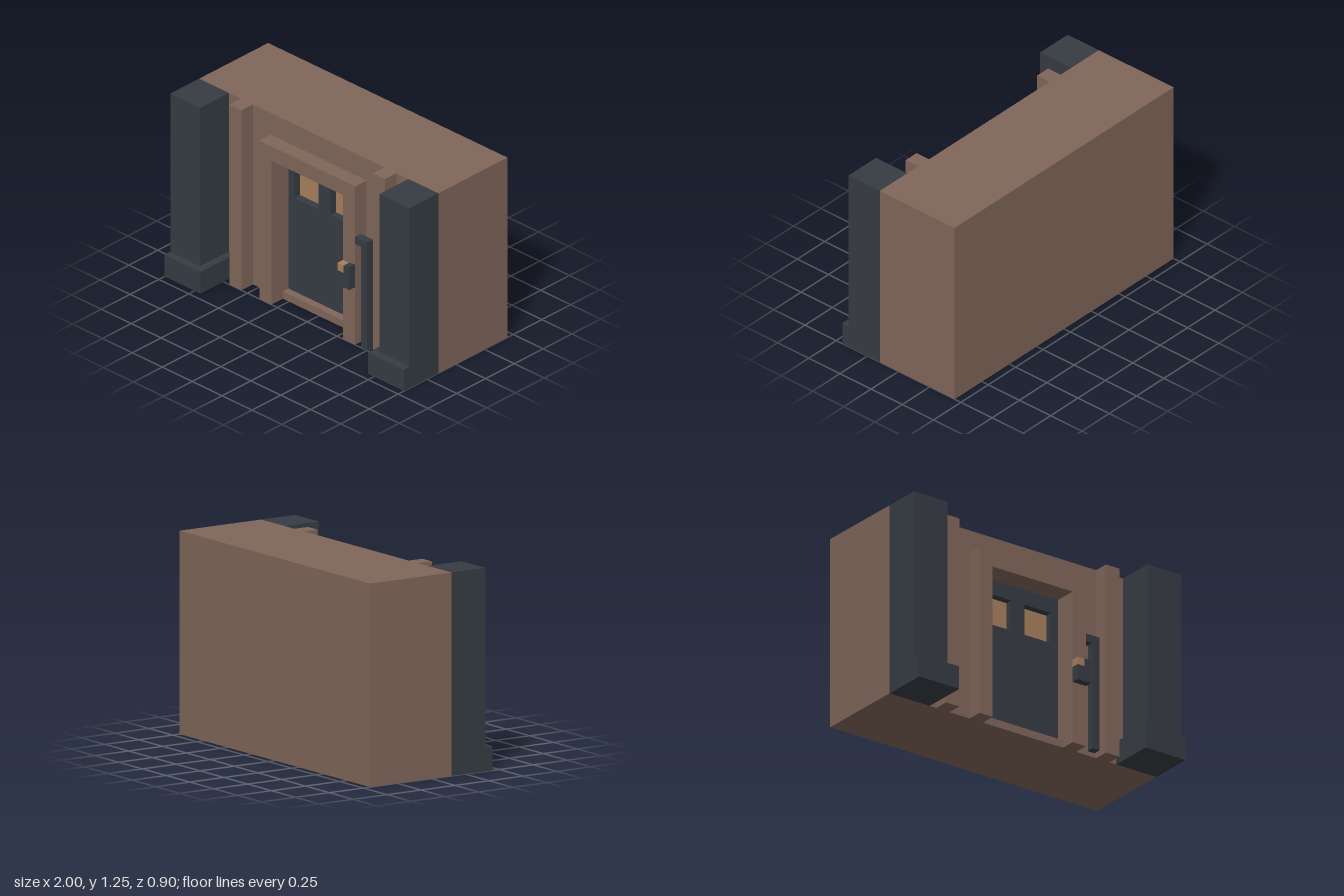
import * as THREE from 'three';

const material = (name, color) => {
  const m = new THREE.MeshStandardMaterial({ color });
  m.name = name;
  return m;
};

export function createModel() {
  const brown = material('brown wall', 0x80665a);
  const slate = material('dark slate', 0x363c43);
  const tan = material('warm tan', 0xa67e5c);
  const model = new THREE.Group();
  model.name = 'doorway';

  const add = (name, geometry, mat) => {
    const mesh = new THREE.Mesh(geometry, mat);
    mesh.name = name;
    model.add(mesh);
    return mesh;
  };
  // Box given by its extents along each axis
  const box = (name, mat, [x0, x1], [y0, y1], [z0, z1]) =>
    add(name, new THREE.BoxGeometry(x1 - x0, y1 - y0, z1 - z0), mat)
      .position.set((x0 + x1) / 2, (y0 + y1) / 2, (z0 + z1) / 2);
  const outline = (points) => points.map(([x, y]) => new THREE.Vector2(x, y));
  const rect = (x0, x1, y0, y1) => outline([[x0, y0], [x1, y0], [x1, y1], [x0, y1]]);
  // Upright slab with optional rectangular openings
  const slab = (name, mat, points, holes, z0, z1) => {
    const shape = new THREE.Shape(points);
    shape.holes = holes.map((h) => new THREE.Path(h.slice().reverse()));
    const geometry = new THREE.ExtrudeGeometry(shape, { depth: z1 - z0, bevelEnabled: false });
    add(name, geometry.translate(0, 0, z0), mat);
  };

  // Solid wall block, with the door opening cut into its front layer
  box('wallBlock', brown, [-1, 1], [0, 1.25], [-0.45, 0.05]);
  slab('wallFront', brown, rect(-1, 1, 0, 1.25), [rect(-0.3, 0.3, 0.05, 1)], 0.05, 0.15);

  // Recessed door with two sunken windows
  const windows = [[-0.25, -0.05], [0.05, 0.25]];
  slab('door', slate, rect(-0.3, 0.3, 0.05, 1), windows.map(([a, b]) => rect(a, b, 0.7, 0.9)), 0.05, 0.1);
  for (const span of windows) box('windowPane', tan, span, [0.7, 0.9], [0.046, 0.052]);

  // Door frame, open at the bottom
  slab('doorFrame', brown, outline([
    [-0.4, 0], [-0.3, 0], [-0.3, 1], [0.3, 1], [0.3, 0], [0.4, 0], [0.4, 1.1], [-0.4, 1.1],
  ]), [], 0.15, 0.25);

  // Mirrored wall ribs, pillars and plinths
  for (const side of [-1, 1]) {
    const span = (a, b) => (side > 0 ? [a, b] : [-b, -a]);
    box('wallRib', brown, span(0.55, 0.65), [0, 1.25], [0.15, 0.25]);
    box('pillar', slate, span(0.75, 1), [0.15, 1.25], [0.15, 0.4]);
    box('pillarBase', slate, span(0.7, 1), [0, 0.15], [0.15, 0.45]);
  }

  // Lock box with a tan button in its notch
  slab('lockBox', slate, outline([
    [0.3, 0.4], [0.4, 0.4], [0.4, 0.56], [0.35, 0.55], [0.35, 0.5], [0.3, 0.5],
  ]), [], 0.25, 0.3);
  box('lockButton', tan, [0.3, 0.35], [0.5, 0.55], [0.25, 0.3]);

  // Conduit running from the frame down to the ground
  slab('conduit', slate, outline([
    [0.45, 0], [0.5, 0], [0.5, 0.75], [0.4, 0.75], [0.4, 0.7], [0.45, 0.7],
  ]), [], 0.2, 0.25);

  return model;
}
